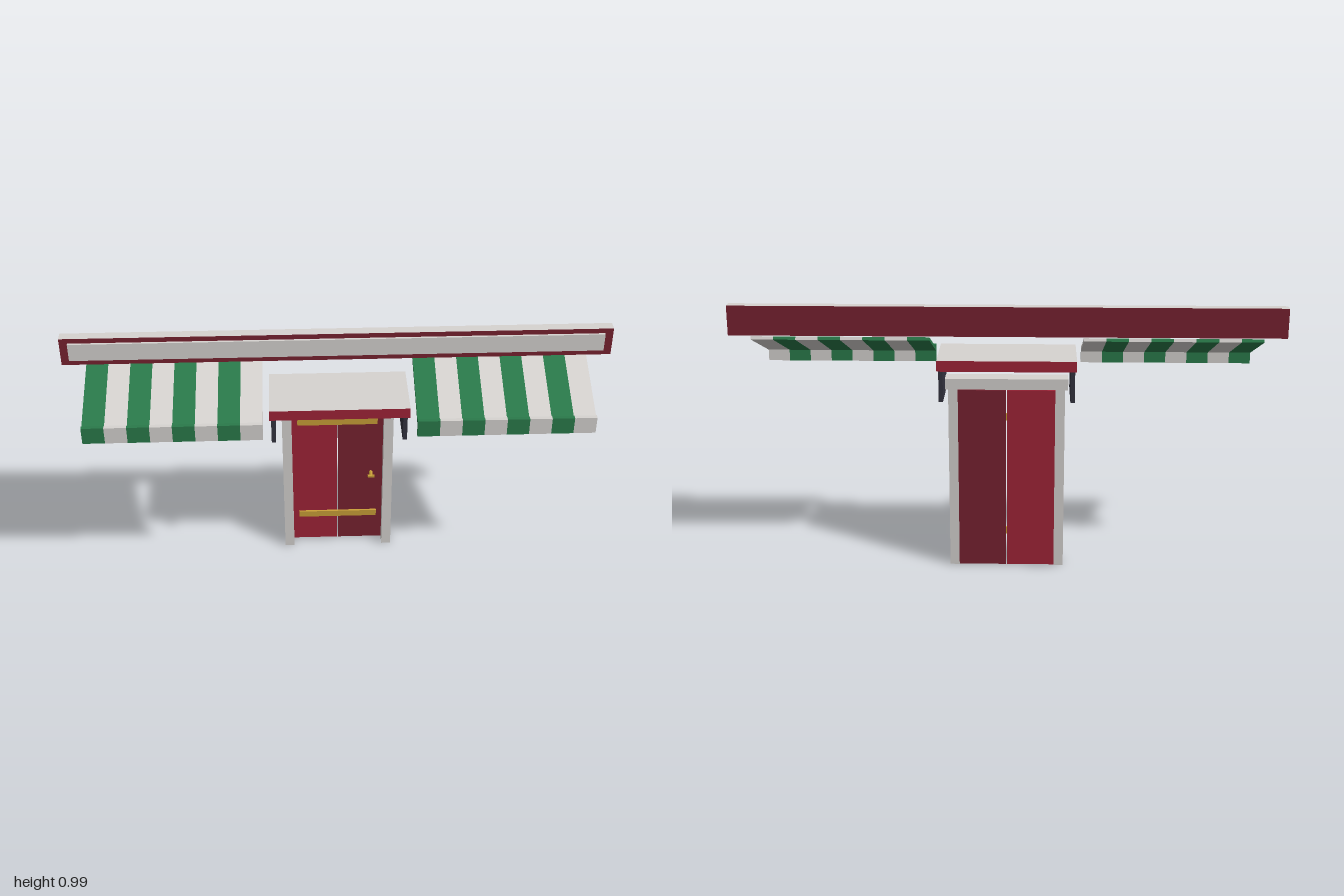
import * as THREE from 'three';

const mat = (name, color) => {
  const m = new THREE.MeshStandardMaterial({ color });
  m.name = name;
  return m;
};

export function createModel() {
  const red = mat('bright red', 0xa02438);
  const darkRed = mat('dark red', 0x782230);
  const white = mat('off white', 0xd6d3d0);
  const green = mat('awning green', 0x2a7a4a);
  const navy = mat('dark slate', 0x32323e);
  const gold = mat('brass', 0xcaa038);

  const model = new THREE.Group();
  model.name = 'shopFront';

  // Box given by its minimum and maximum on each axis
  const box = (parent, name, material, [x0, x1], [y0, y1], [z0, z1]) => {
    const mesh = new THREE.Mesh(new THREE.BoxGeometry(x1 - x0, y1 - y0, z1 - z0), material);
    mesh.position.set((x0 + x1) / 2, (y0 + y1) / 2, (z0 + z1) / 2);
    mesh.name = name;
    parent.add(mesh);
    return mesh;
  };
  const group = (name) => {
    const g = new THREE.Group();
    g.name = name;
    model.add(g);
    return g;
  };
  // Box faces run +x, -x, +y, -y, +z, -z: only the top is white
  const whiteTop = (m) => [m, m, white, m, m, m];

  // Sign board with a raised blank panel
  const sign = group('sign');
  box(sign, 'signBoard', whiteTop(darkRed), [-1, 1], [0.878, 0.987], [-0.135, -0.096]);
  box(sign, 'signPanel', white, [-0.97, 0.97], [0.9, 0.968], [-0.096, -0.087]);

  // Two striped awnings, each with a hanging valance
  const stripe = 0.08;
  const low = new THREE.Vector2(0.147, 0.756);
  const high = new THREE.Vector2(-0.149, 0.873);
  const slope = Math.atan2(high.y - low.y, low.x - high.x);
  for (const [name, start] of [['rightAwning', -0.915], ['leftAwning', 0.275]]) {
    const awning = group(name);
    for (let i = 0; i < 8; i++) {
      const material = i % 2 ? white : green;
      const x = start + i * stripe;
      const slat = new THREE.Mesh(
        new THREE.BoxGeometry(stripe, 0.012, low.distanceTo(high)), material);
      slat.position.set(x + stripe / 2, (low.y + high.y) / 2, (low.x + high.x) / 2);
      slat.rotation.x = slope;
      slat.name = 'awningStripe';
      awning.add(slat);
      box(awning, 'valance', material, [x, x + stripe], [0.709, 0.774], [0.144, 0.16]);
    }
  }

  // Flat canopy over the door on two side brackets
  const canopy = group('canopy');
  box(canopy, 'canopyRoof', whiteTop(red), [-0.253, 0.253], [0.75, 0.79], [-0.143, 0.101]);
  for (const s of [-1, 1]) {
    const x = s * 0.239;
    box(canopy, 'canopyBracket', navy, [x - 0.008, x + 0.008], [0.633, 0.75], [-0.135, 0.072]);
  }

  // Door frame
  const frame = group('doorFrame');
  for (const s of [-1, 1]) {
    const x = s * 0.193;
    box(frame, 'jamb', white, [x - 0.018, x + 0.018], [0, 0.686], [-0.151, -0.094]);
  }
  box(frame, 'lintel', white, [-0.222, 0.222], [0.686, 0.726], [-0.151, -0.086]);

  // Double door with brass straps
  const door = group('door');
  box(door, 'rightDoorLeaf', red, [-0.176, -0.002], [0.005, 0.686], [-0.158, -0.135]);
  box(door, 'leftDoorLeaf', darkRed, [0.002, 0.176], [0.005, 0.686], [-0.158, -0.135]);
  for (const y of [0.132, 0.578])
    box(door, 'doorStrap', gold, [-0.153, 0.153], [y - 0.013, y + 0.013], [-0.135, -0.127]);

  // Lever handle
  const stem = new THREE.Mesh(new THREE.CylinderGeometry(0.007, 0.007, 0.03, 10), gold);
  stem.rotation.x = Math.PI / 2;
  stem.position.set(0.13, 0.332, -0.12);
  stem.name = 'handleStem';
  door.add(stem);
  box(door, 'handleLever', gold, [0.117, 0.143], [0.329, 0.338], [-0.108, -0.1]);

  return model;
}
